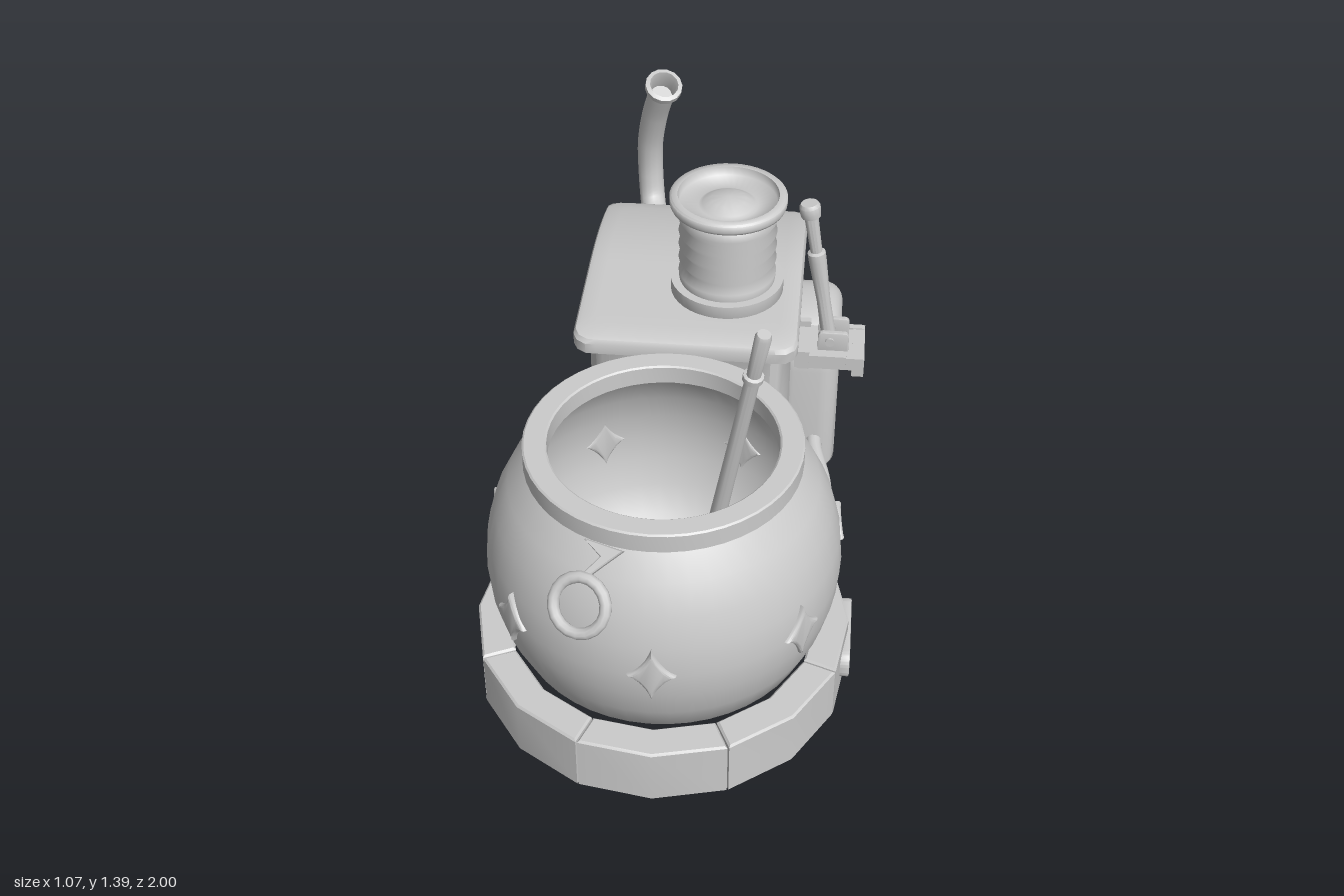
import * as THREE from 'three';
import { toCreasedNormals } from 'three/addons/utils/BufferGeometryUtils.js';

const V = (x, y, z) => new THREE.Vector3(x, y, z);
const rad = THREE.MathUtils.degToRad;
const mat = new THREE.MeshStandardMaterial({ color: 0xcccccc, side: THREE.DoubleSide });

function add(parent, name, geo, pos = [0, 0, 0], rot = [0, 0, 0]) {
  const m = new THREE.Mesh(geo, mat);
  m.name = name;
  m.position.set(...pos);
  m.rotation.set(...rot);
  parent.add(m);
  return m;
}
function group(parent, name, pos = [0, 0, 0], ry = 0) {
  const g = new THREE.Group();
  g.name = name;
  g.position.set(...pos);
  g.rotation.y = ry;
  parent.add(g);
  return g;
}
const lathe = (pts, seg = 40, crease = 0.6) =>
  toCreasedNormals(new THREE.LatheGeometry(pts.map(p => new THREE.Vector2(...p)), seg), crease);
const tube = (pts, r, seg = 28) =>
  new THREE.TubeGeometry(new THREE.CatmullRomCurve3(pts.map(p => V(...p))), seg, r, 14);

function roundRect(w, h, r, S = THREE.Shape) {
  const s = new S(), x = w / 2, y = h / 2;
  s.moveTo(x, -y + r).lineTo(x, y - r);
  s.absarc(x - r, y - r, r, 0, Math.PI / 2);
  s.absarc(-x + r, y - r, r, Math.PI / 2, Math.PI);
  s.absarc(-x + r, -y + r, r, Math.PI, Math.PI * 1.5);
  s.absarc(x - r, -y + r, r, Math.PI * 1.5, Math.PI * 2);
  return s;
}
function plate(shape, depth, bevel, segs = 2, curveSegments = 8) {
  const g = new THREE.ExtrudeGeometry(shape, {
    depth, bevelThickness: bevel, bevelSize: bevel, bevelOffset: -bevel, bevelSegments: segs, curveSegments });
  return toCreasedNormals(g, 0.6);
}
// Drop the triangles lying on the ground, leaving a hollow shell
function openBottom(geo) {
  const p = geo.attributes.position, keep = [];
  for (let i = 0; i < p.count; i += 3)
    if (Math.max(p.getY(i), p.getY(i + 1), p.getY(i + 2)) > 0.001) keep.push(i, i + 1, i + 2);
  geo.clearGroups();
  geo.setIndex(keep);
  return geo;
}

// Skin over rounded rectangles [y, halfWidth, zFront, zBack, radius], heights bent by warp(y, z)
function loft(sections, warp = y => y) {
  const n = 96, pos = [], idx = [];
  sections.forEach(([y, hw, zf, zb, r]) => {
    const pts = roundRect(hw * 2, zf - zb, r).getSpacedPoints(n);
    for (let i = 0; i < n; i++) {
      const z = (zf + zb) / 2 - pts[i].y;
      pos.push(pts[i].x, warp(y, z), z);
    }
  });
  for (let s = 0; s < sections.length - 1; s++)
    for (let i = 0; i < n; i++) {
      const a = s * n + i, b = s * n + (i + 1) % n;
      idx.push(a, b, b + n, a, b + n, a + n);
    }
  const g = new THREE.BufferGeometry();
  g.setAttribute('position', new THREE.Float32BufferAttribute(pos, 3));
  g.setIndex(idx);
  return toCreasedNormals(g, 0.6);
}
// Rod of stacked radii [distance, radius] between two points
function rod(parent, name, a, b, prof) {
  const d = V(...b).sub(V(...a)), len = d.length();
  const m = add(parent, name, lathe(prof.map(([t, r]) => [r, t * len]), 14), a);
  m.quaternion.setFromUnitVectors(V(0, 1, 0), d.normalize());
}

function cauldron(root) {
  const g = group(root, 'cauldron', [-0.005, 0, 0.47]);
  const wall = [[0, 0.07], [0.2, 0.075], [0.3, 0.095], [0.37, 0.13], [0.42, 0.18], [0.46, 0.27],
    [0.483, 0.36], [0.49, 0.44], [0.482, 0.53], [0.458, 0.62], [0.42, 0.7], [0.365, 0.77]];
  add(g, 'pot', lathe(wall, 48));
  add(g, 'potInside', lathe(wall.map(([r, y]) => [r * 0.96, 0.44 + (y - 0.44) * 0.95]).reverse(), 48));
  add(g, 'rim', lathe([[0.36, 0.765], [0.375, 0.77], [0.375, 0.822], [0.37, 0.826], [0.315, 0.826], [0.31, 0.822],
    [0.31, 0.77], [0.36, 0.755]], 48));

  // Seven puffy four-pointed studs around the belly
  const star = new THREE.Shape();
  star.moveTo(0, 0.088);
  [[0.064, 0], [0, -0.088], [-0.064, 0], [0, 0.088]].forEach(([x, y]) => star.quadraticCurveTo(
    0.02 * Math.sign(x || star.currentPoint.x), 0.024 * Math.sign(y || star.currentPoint.y), x, y));
  const starGeo = plate(star, 0.018, 0.009, 3, 6);
  for (let i = 0; i < 7; i++) {
    const s = group(g, 'star', [0, 0.445, 0], rad(2 + i * 360 / 7));
    add(s, 'starStud', starGeo, [0, 0, 0.471]);
  }

  // Ring handles on opposite sides
  const tri = new THREE.Shape([[-0.035, 0.05], [0.075, 0.05], [0.035, 0], [0.0, -0.045], [-0.015, -0.04], [0.02, 0.02]]
    .map(p => new THREE.Vector2(...p)));
  [-20, 160].forEach(a => {
    const h = group(g, 'handle', [0, 0, 0], rad(a));
    add(h, 'handleRing', new THREE.TorusGeometry(0.073, 0.016, 10, 18), [0, 0.65, 0.488], [-0.55, 0, 0]);
    add(h, 'handleStrap', plate(tri, 0.012, 0.003, 1), [0, 0.735, 0.412], [-0.75, 0, 0]);
  });

  // Stirring spoon
  const s = group(g, 'spoon');
  rod(s, 'spoonStick', [0.108, 0.39, 0.09], [0.267, 1.39, 0.267], [[0, 0], [0, 0.024], [0.84, 0.019], [0.842, 0.026],
    [0.857, 0.026], [0.86, 0.018], [0.99, 0.021], [1, 0.017], [1, 0]]);
  add(s, 'spoonBowl', new THREE.SphereGeometry(0.08, 18, 12), [0.1, 0.38, 0.09], [0, 0.6, 0]).scale.set(1, 0.3, 0.6);
}

function hearth(root) {
  const g = group(root, 'hearthRing', [-0.01, 0, 0.47]);
  // Eight hollow stones, each with two outer facets
  const a0 = rad(0.25), a1 = rad(44.75), sh = new THREE.Shape();
  sh.absarc(0, 0, 0.53, a0, a1, false);
  sh.absarc(0, 0, 0.435, a1, a0, true);
  sh.closePath();
  const geo = openBottom(plate(sh, 0.168, 0.006, 1, 1).rotateX(-Math.PI / 2).translate(0, 0.006, 0));
  for (let i = 0; i < 8; i++) add(g, 'stone', geo, [0, 0, 0], [0, rad(-20 + 45 * i), 0]);

  // Pill-shaped vent with three cells
  const b = group(g, 'vent', [0.52, 0.093, -0.035], Math.PI / 2);
  const frame = roundRect(0.265, 0.088, 0.035);
  frame.holes.push(roundRect(0.222, 0.054, 0.018, THREE.Path));
  add(b, 'ventFrame', plate(frame, 0.034, 0.004), [0, 0, -0.02]);
  [-0.075, 0, 0.075].forEach(x => add(b, 'ventCell', plate(roundRect(0.066, 0.052, 0.01), 0.03, 0.004), [x, 0, -0.02]));
}

function machine(root) {
  const g = group(root, 'machine', [0.01, 0, 0]);
  add(g, 'plinth', loft([[0, 0.315, -0.02, -0.815, 0.06], [0.045, 0.318, -0.015, -0.82, 0.06],
    [0.065, 0.31, -0.03, -0.81, 0.06], [0.07, 0.29, -0.05, -0.79, 0.06]]));
  // Housing with a lip at the front and a roof falling to the back
  const roof = (y, z) => y * (1 - 0.49 * Math.max(0, -z - 0.33) ** 2 - 0.8 * Math.max(0, z + 0.05) ** 2);
  const body = [[0.06, 0.298, -0.045, -0.798, 0.09], [0.4, 0.294, -0.05, -0.793, 0.09], [0.7, 0.296, -0.05, -0.787, 0.09],
    [0.74, 0.304, -0.03, -0.787, 0.07], [0.765, 0.315, 0.025, -0.789, 0.05], [0.78, 0.321, 0.053, -0.79, 0.05],
    [0.815, 0.321, 0.056, -0.79, 0.05], [0.827, 0.315, 0.049, -0.784, 0.05]];
  for (let i = 0; i <= 8; i++) {
    const k = Math.max(0.002, 1 - i / 8);
    body.push([0.831, 0.303 * k, -0.37 + 0.405 * k, -0.37 - 0.4 * k, 0.05 * k]);
  }
  add(g, 'housing', loft(body, roof));

  // Chimney with soft bellows folds and a dished cap
  const p = [[0.15, 0.8], [0.165, 0.825], [0.165, 0.87], [0.14, 0.87]];
  for (let i = 0; i < 5; i++) p.push([0.142, 0.895 + i * 0.045], [0.127, 0.9175 + i * 0.045]);
  p.push([0.142, 1.115], [0.165, 1.118], [0.168, 1.125], [0.168, 1.145], [0.163, 1.15], [0.145, 1.15], [0.14, 1.125],
    [0.085, 1.115], [0.075, 1.12], [0.05, 1.135], [0, 1.142]);
  add(g, 'chimney', lathe(p, 40, 1.25), [0.1, 0, -0.235]);

  // Exhaust pipe with flared mouth
  const e = group(root, 'exhaust');
  add(e, 'exhaustPipe', tube([[-0.165, 0.635, -0.76], [-0.17, 0.635, -0.86], [-0.185, 0.675, -0.93], [-0.193, 0.76, -0.955],
    [-0.193, 0.87, -0.95], [-0.173, 1.0, -0.915], [-0.143, 1.115, -0.868]], 0.041, 36));
  add(e, 'exhaustFlange', new THREE.CylinderGeometry(0.052, 0.052, 0.03, 20), [-0.165, 0.635, -0.798], [Math.PI / 2, 0, 0]);
  rod(e, 'exhaustMouth', [-0.145, 1.106, -0.871], [-0.137, 1.141, -0.852], [[0, 0.041], [0.35, 0.052], [0.5, 0.058], [0.95, 0.058],
    [1.05, 0.045], [0.6, 0.038], [-0.5, 0.034], [-0.5, 0]]);

  // Back grille, wider at the top
  const v = group(root, 'grille', [-0.01, 0.445, -0.788], Math.PI);
  const trap = (S, t, b, h) => new S([[-b, -h], [b, -h], [t, h], [-t, h]].map(q => new THREE.Vector2(...q)));
  const frame = trap(THREE.Shape, 0.15, 0.128, 0.108);
  frame.holes.push(trap(THREE.Path, 0.116, 0.096, 0.074));
  add(v, 'grilleFrame', plate(frame, 0.028, 0.008));
  for (let i = -2; i <= 2; i++)
    add(v, 'grilleSlat', new THREE.BoxGeometry(0.024, 0.16, 0.024), [i * 0.04, 0, 0.016], [0, 0, -i * 0.05]);
}

function tank(root) {
  const g = group(root, 'tank');
  const s = new THREE.Shape();
  s.moveTo(-0.2, 0.06).lineTo(-0.187, 0.42).bezierCurveTo(-0.18, 0.53, -0.13, 0.582, 0, 0.582);
  s.bezierCurveTo(0.13, 0.582, 0.18, 0.53, 0.187, 0.42).lineTo(0.2, 0.06);
  s.quadraticCurveTo(0.2, 0.03, 0.17, 0.03).lineTo(-0.17, 0.03).quadraticCurveTo(-0.2, 0.03, -0.2, 0.06);
  add(g, 'tankShell', plate(s, 0.08, 0.06, 7, 12), [0.315, 0, -0.555], [0, Math.PI / 2, 0]);
  add(g, 'hose', tube([[0.39, 0.16, -0.42], [0.39, 0.15, -0.34], [0.425, 0.125, -0.2], [0.435, 0.105, -0.07], [0.425, 0.095, 0.02],
    [0.375, 0.095, 0.14]], 0.025));
}

function lever(root) {
  const g = group(root, 'lever', [0, 0, -0.165]);
  const box = (n, w, h, d, x, y, z) => add(g, n, new THREE.BoxGeometry(w, h, d), [x, y, z]);
  box('bracketShelf', 0.18, 0.045, 0.15, 0.41, 0.678, 0);
  box('bracketEnd', 0.035, 0.06, 0.17, 0.505, 0.672, 0);
  [-1, 1].forEach(s => {
    box('bracketEar', 0.05, 0.03, 0.02, 0.495, 0.69, s * 0.075);
    box('bracketWallEar', 0.035, 0.06, 0.02, 0.345, 0.69, s * 0.075);
    add(g, 'pivotCheek', plate(roundRect(0.09, 0.085, 0.015), 0.01, 0.003), [0.43, 0.72, s * 0.036 - 0.005]);
  });
  add(g, 'pivotPin', new THREE.CylinderGeometry(0.014, 0.014, 0.1, 12), [0.42, 0.732, 0], [Math.PI / 2, 0, 0]);
  rod(g, 'leverStick', [0.418, 0.71, 0], [0.34, 1.178, 0], [[0, 0], [0, 0.022], [0.3, 0.02], [0.6, 0.026], [0.65, 0.026],
    [0.66, 0.017], [0.9, 0.02], [0.91, 0.028], [0.94, 0.03], [0.98, 0.03], [1, 0.024], [1, 0]]);
}

export function createModel() {
  const root = new THREE.Group();
  root.name = 'cauldronMachine';
  [cauldron, hearth, machine, tank, lever].forEach(build => build(root));
  return root;
}
